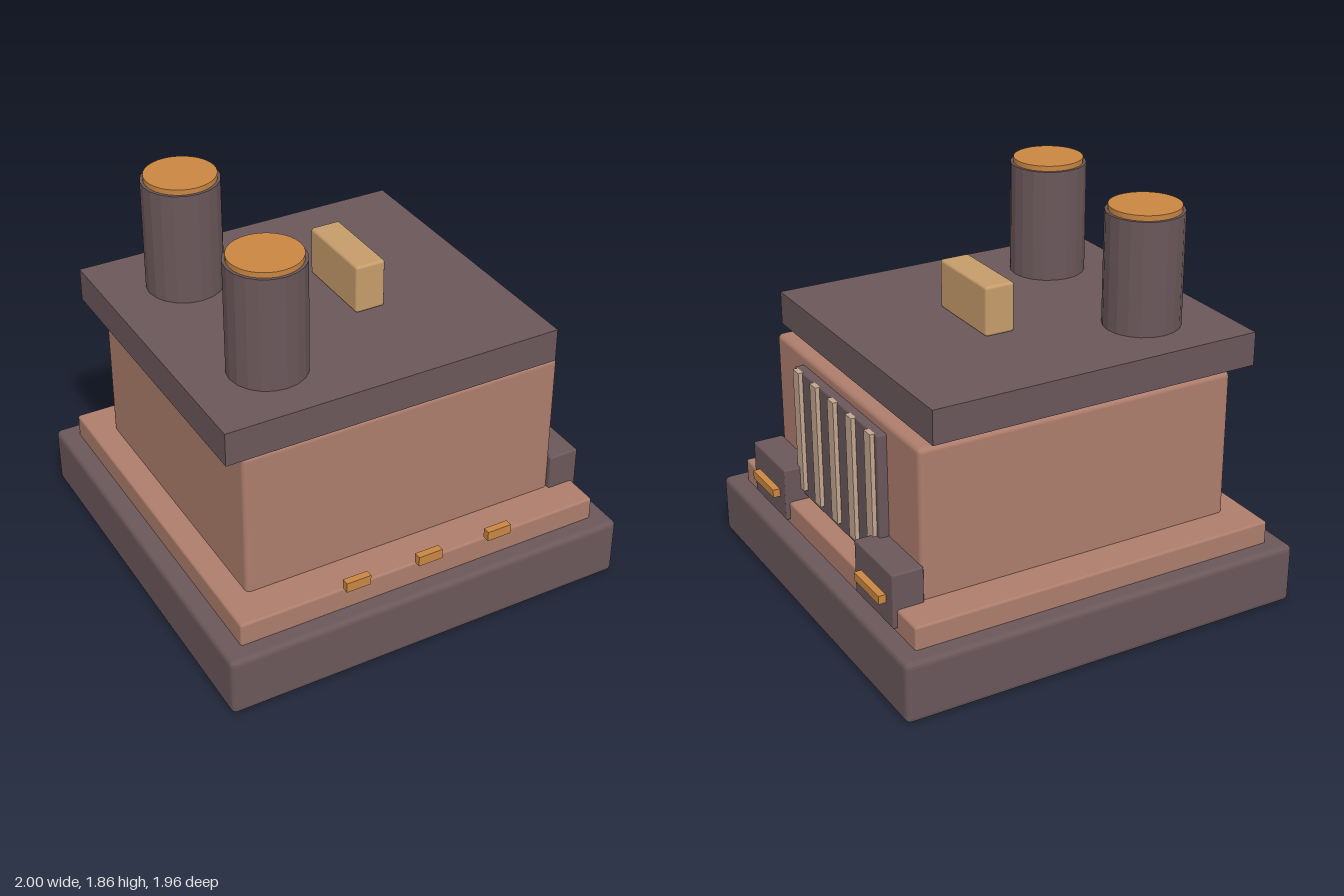
import * as THREE from 'three';
import { RoundedBoxGeometry } from 'three/addons/geometries/RoundedBoxGeometry.js';

export function createModel() {
  const model = new THREE.Group();
  model.name = 'furnaceBuilding';

  const material = (name, color, flatShading = false) => {
    const m = new THREE.MeshStandardMaterial({ color, flatShading });
    m.name = name;
    return m;
  };
  const dark = material('dark metal', 0x6a575a, true);
  const clay = material('clay', 0xad7d6c);
  const amber = material('amber glow', 0xc98642);
  const tan = material('tan', 0xc69c6b);
  const pale = material('pale slat', 0xc3a68f);

  const add = (name, geometry, mat, x, y, z) => {
    const mesh = new THREE.Mesh(geometry, mat);
    mesh.name = name;
    mesh.position.set(x, y, z);
    model.add(mesh);
  };
  // Box given by its min and max on each axis, with an optional rounded edge
  const box = (name, mat, [x0, x1], [y0, y1], [z0, z1], bevel = 0) => {
    const size = [x1 - x0, y1 - y0, z1 - z0];
    const geometry = bevel
      ? new RoundedBoxGeometry(...size, 2, bevel)
      : new THREE.BoxGeometry(...size);
    add(name, geometry, mat, (x0 + x1) / 2, (y0 + y1) / 2, (z0 + z1) / 2);
  };

  // Stacked body
  box('base', dark, [-1, 1], [0, 0.29], [-0.98, 0.98], 0.025);
  box('plinth', clay, [-0.91, 0.91], [0.27, 0.4], [-0.893, 0.893], 0.012);
  box('body', clay, [-0.79, 0.785], [0.38, 1.11], [-0.715, 0.715], 0.025);
  box('roof', dark, [-0.885, 0.74], [1.135, 1.295], [-0.753, 0.753]);
  box('roofVent', tan, [0.035, 0.182], [1.295, 1.53], [-0.21, 0.21], 0.014);

  // Chimneys with glowing tops
  for (const z of [-0.405, 0.405]) {
    add('chimney', new THREE.CylinderGeometry(0.18, 0.18, 0.74, 20), dark, -0.51, 1.46, z);
    add('chimneyGlow', new THREE.CylinderGeometry(0.165, 0.165, 0.045, 32), amber, -0.51, 1.8325, z);
  }

  // Side grille
  box('grillePanel', dark, [0.77, 0.83], [0.42, 1.06], [-0.42, 0.42], 0.008);
  for (let i = -2; i <= 2; i++) {
    const z = i * 0.182;
    box('grilleSlat', pale, [0.825, 0.85], [0.46, 1.06], [z - 0.03, z + 0.03]);
  }

  // Corner blocks with lamps
  for (const z of [-0.55, 0.55]) {
    box('cornerBlock', dark, [0.78, 0.93], [0.31, 0.57], [z - 0.18, z + 0.18], 0.008);
    box('cornerLamp', amber, [0.92, 0.965], [0.41, 0.45], [z - 0.117, z + 0.117]);
  }

  // Row of front lamps
  for (const x of [-0.363, 0, 0.36]) {
    box('frontLamp', amber, [x - 0.06, x + 0.06], [0.42, 0.468], [0.908, 0.943]);
  }

  return model;
}
